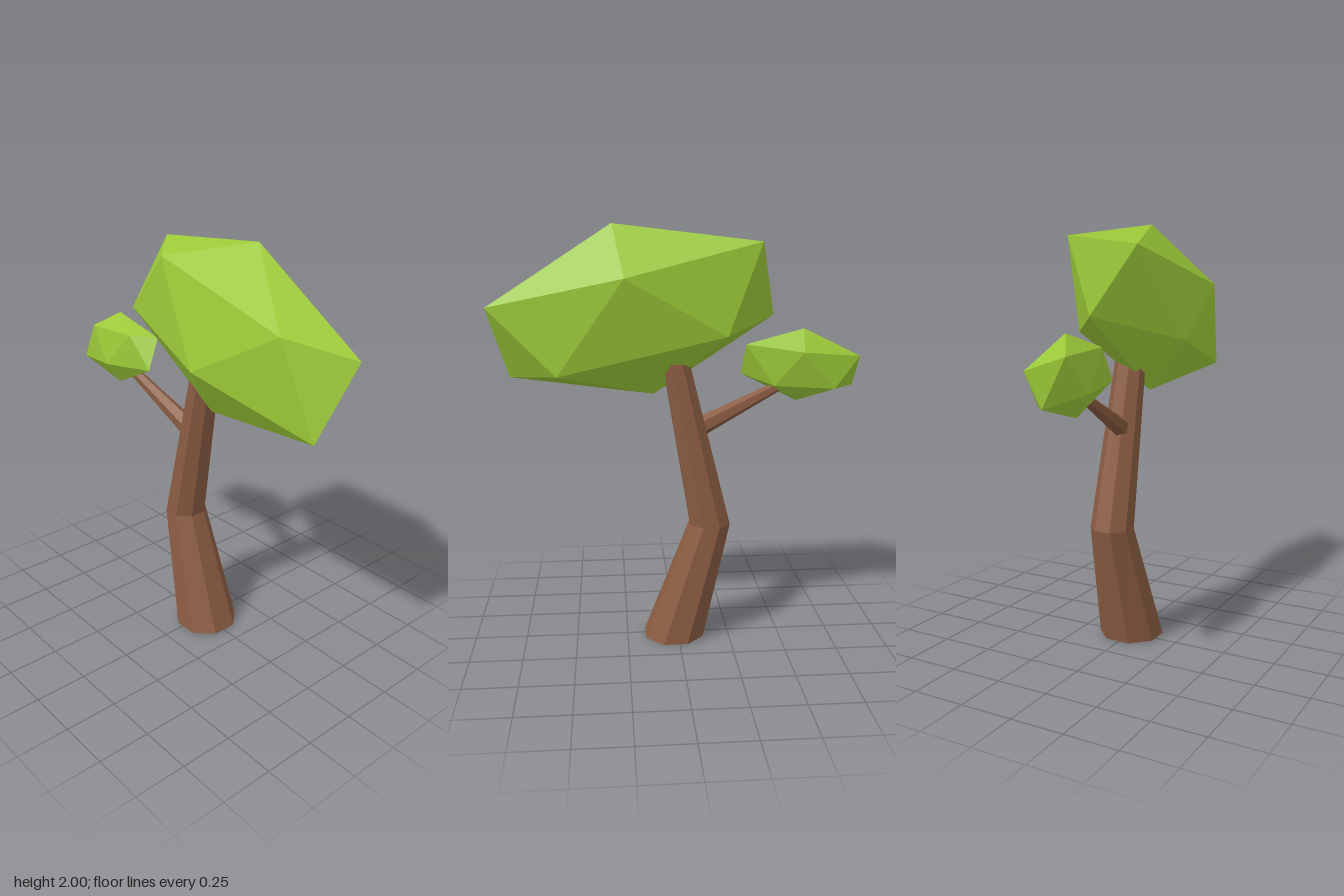
import * as THREE from 'three';
import { ConvexGeometry } from 'three/addons/geometries/ConvexGeometry.js';

const mat = (name, color) => {
  const m = new THREE.MeshStandardMaterial({ color, flatShading: true });
  m.name = name;
  return m;
};

// Tapered tube through rings [x, y, z, radiusX, radiusZ], closed at the top
function loft(rings, sides) {
  const pos = [];
  const point = ([x, y, z, rx, rz], i) => {
    const a = ((i + 0.5) / sides) * Math.PI * 2;
    return [x + Math.sin(a) * rx, y, z + Math.cos(a) * rz];
  };
  for (let i = 0; i < sides; i++) {
    for (let r = 0; r < rings.length - 1; r++) {
      const a = point(rings[r], i), b = point(rings[r], i + 1);
      const c = point(rings[r + 1], i + 1), d = point(rings[r + 1], i);
      pos.push(...a, ...b, ...c, ...a, ...c, ...d);
    }
    const top = rings[rings.length - 1];
    pos.push(...point(top, i), ...point(top, i + 1), ...top.slice(0, 3));
  }
  const g = new THREE.BufferGeometry();
  g.setAttribute('position', new THREE.Float32BufferAttribute(pos, 3));
  g.computeVertexNormals();
  return g;
}

const hull = (points) => new ConvexGeometry(points.map((p) => new THREE.Vector3(...p)));

export function createModel() {
  const group = new THREE.Group();
  const bark = mat('bark', 0x8b5c42);
  const leaf = mat('leaf', 0x9cca38);
  const cut = mat('baseBlue', 0x587a96);
  const add = (name, geometry, material) => {
    const m = new THREE.Mesh(geometry, material);
    m.name = name;
    group.add(m);
    return m;
  };

  // Bent eight-sided trunk
  add('trunk', loft([
    [0.006, 0, 0.02, 0.156, 0.152],
    [0.015, 0.58, -0.155, 0.103, 0.103],
    [0.005, 1.365, 0.008, 0.074, 0.068],
  ], 8), bark);

  // Underside of the trunk
  const base = add('trunkBase', new THREE.CircleGeometry(1, 8, Math.PI / 8), cut);
  base.scale.set(0.156, 0.152, 1);
  base.rotation.x = Math.PI / 2;
  base.position.set(0.006, 0, 0.02);

  // Side branch reaching back to the small crown
  const from = new THREE.Vector3(0.0, 1.03, -0.06);
  const to = new THREE.Vector3(-0.045, 1.26, -0.53);
  const dir = to.clone().sub(from);
  const branch = add('branch', new THREE.CylinderGeometry(0.022, 0.05, dir.length(), 6), bark);
  branch.position.copy(from).add(to).multiplyScalar(0.5);
  branch.quaternion.setFromUnitVectors(new THREE.Vector3(0, 1, 0), dir.normalize());

  // Large faceted crown
  add('largeCrown', hull([
    [0.045, 2, 0.3], [0.1, 1.92, -0.38], [-0.055, 1.58, -0.46], [0.145, 1.5, -0.22],
    [0.205, 1.765, 0.25], [0.05, 1.63, 0.875], [-0.1, 1.29, 0.79], [-0.15, 1.71, 0.63],
    [-0.21, 1.45, 0.16], [-0.117, 1.89, -0.15], [0.115, 1.32, 0.56], [-0.045, 1.21, 0.11],
  ]), leaf);

  // Small crown: six corners and their opposites through the centre
  const centre = [-0.045, 1.341, -0.593];
  const half = [
    [-0.028, 1.517, -0.605], [0.045, 1.411, -0.594], [0.015, 1.25, -0.46],
    [0.01, 1.23, -0.753], [-0.01, 1.385, -0.875], [-0.08, 1.236, -0.86],
  ];
  const opposite = half.map((p) => p.map((v, i) => 2 * centre[i] - v));
  add('smallCrown', hull([...half, ...opposite]), leaf);

  return group;
}
